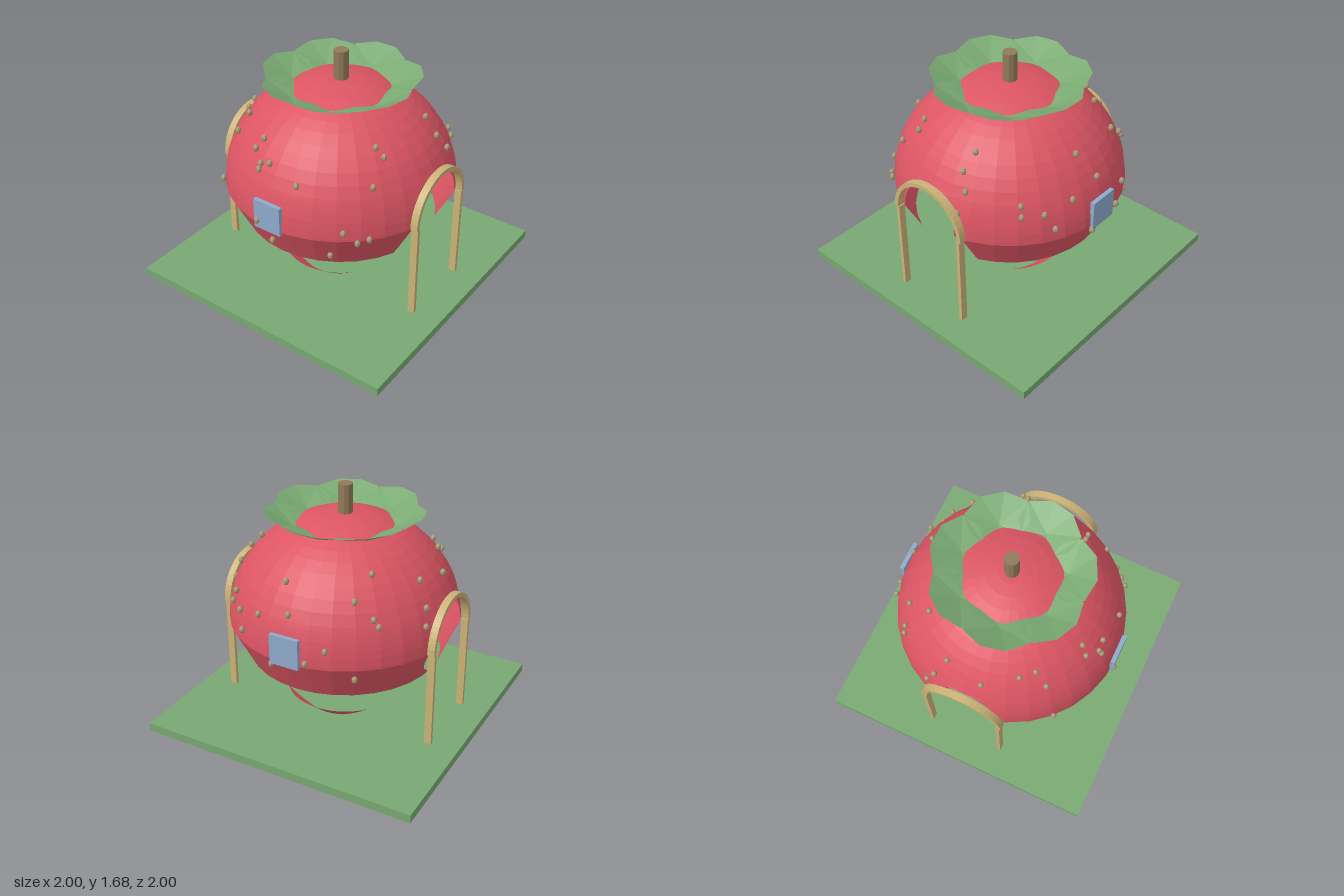
import * as THREE from 'three';
import { mergeGeometries } from 'three/addons/utils/BufferGeometryUtils.js';

const mat = (name, color, extra = {}) => {
  const m = new THREE.MeshStandardMaterial({ color, ...extra });
  m.name = name;
  return m;
};

// Faceted geometry from points and triangle indices
function faceted(points, index) {
  const g = new THREE.BufferGeometry();
  g.setAttribute('position', new THREE.Float32BufferAttribute(points, 3));
  g.setIndex(index);
  const flat = g.toNonIndexed();
  flat.computeVertexNormals();
  return flat;
}

// Half of a round shell: each row has height y, radius r and start / end angles,
// measured from +z towards the given side
function halfShell(rows, side, cols = 16) {
  const points = [], index = [];
  for (const { y, r, start, end } of rows) {
    for (let j = 0; j <= cols; j++) {
      const a = THREE.MathUtils.clamp((j * Math.PI) / cols, start, end);
      points.push(side * r * Math.sin(a), y, r * Math.cos(a));
    }
  }
  for (let i = 0; i < rows.length - 1; i++) {
    for (let j = 0; j < cols; j++) {
      const a = i * (cols + 1) + j, b = a + 1, c = a + cols + 1, d = c + 1;
      if (side > 0) index.push(a, b, d, a, d, c);
      else index.push(a, d, b, a, c, d);
    }
  }
  return faceted(points, index);
}

// Body profile: ellipsoid above the waist, cone below
const WAIST = 0.73, RX = 0.8, RY = 0.75;
const HOLE_Y = 0.75, HOLE_R = 0.26;
const bodyRadius = (y) => y < WAIST
  ? RX - 0.5 * (WAIST - y)
  : RX * Math.sqrt(Math.max(0, 1 - ((y - WAIST) / RY) ** 2));

function bodyRows() {
  const heights = [0.47, WAIST];
  for (let k = 0; k <= 14; k++) heights.push(HOLE_Y - HOLE_R * Math.cos((k * Math.PI) / 14));
  const low = Math.asin((HOLE_Y + HOLE_R - WAIST) / RY);
  for (let k = 1; k <= 11; k++) {
    heights.push(WAIST + RY * Math.sin(low + ((Math.PI / 2 - low) * k) / 11));
  }
  heights.sort((a, b) => a - b);
  return heights.map((y) => {
    const r = bodyRadius(y);
    // round hole at the back; the front one runs down to the rim as a doorway
    const back = Math.sqrt(Math.max(0, HOLE_R ** 2 - (y - HOLE_Y) ** 2));
    const front = y < HOLE_Y ? HOLE_R : back;
    return {
      y, r,
      start: front ? Math.asin(front / r) : 0,
      end: Math.PI - (back ? Math.asin(back / r) : 0),
    };
  });
}

// Seed positions on the upper body, as x, z pairs
const SEEDS = [
  [-0.58, -0.57], [-0.48, -0.5], [-0.39, -0.47], [-0.31, -0.545], [-0.1, -0.675],
  [0.16, -0.63], [0.225, -0.71], [0.275, -0.735], [0.54, -0.535], [0.545, -0.5],
  [0.395, -0.405], [0.565, -0.375], [0.755, -0.27], [0.8, -0.15], [0.74, 0],
  [0.625, 0.08], [0.73, 0.23], [0.715, 0.375], [0.66, 0.42], [0.55, 0.52],
  [0.57, 0.535], [0.195, 0.54], [0.18, 0.64], [0.24, 0.69], [0.225, 0.755],
  [-0.31, 0.49], [-0.305, 0.55], [-0.45, 0.57], [-0.65, 0.485], [-0.6, 0.56],
  [-0.54, 0.61], [-0.71, 0.17], [-0.81, -0.08], [-0.63, -0.215], [-0.585, -0.18],
  [-0.71, -0.13], [-0.69, -0.13], [-0.685, -0.06],
];
// Seeds below the waist, as x, y, z
const LOW_SEEDS = [[0.66, 0.66, -0.43], [0.8, 0.7, 0.1], [-0.76, 0.61, 0], [-0.63, 0.57, 0.37]];

export function createModel() {
  const model = new THREE.Group();
  model.name = 'fruitHouse';
  const red = mat('red skin', 0xdc5564, { side: THREE.DoubleSide });
  const green = mat('leaf green', 0x78a872);
  const leafGreen = mat('calyx green', 0x7bab74, { side: THREE.DoubleSide });
  const tan = mat('pale wood', 0xcbb277);
  const brown = mat('stem brown', 0x917a5a);
  const seedTan = mat('seed tan', 0xaa9b75);
  const blue = mat('window blue', 0x8eaacb);

  const add = (name, geometry, material, x = 0, y = 0, z = 0, parent = model) => {
    const m = new THREE.Mesh(geometry, material);
    m.name = name;
    m.position.set(x, y, z);
    parent.add(m);
    return m;
  };

  // Ground slab
  add('ground', new THREE.BoxGeometry(2, 0.06, 2), green, 0, 0.03, 0);

  // Body shell, and the two curved slivers on the ground beside the doorway
  const rows = bodyRows();
  const sliverRows = [0, 0.25, 0.5, 0.75, 1].map((t) => {
    const r = 0.286 + 0.124 * t, a = Math.asin(0.26 / r);
    return { y: 0.06 + 0.107 * t, r, start: a, end: Math.PI - a };
  });
  for (const side of [1, -1]) {
    const label = side > 0 ? 'left' : 'right';
    add(label + 'Body', halfShell(rows, side), red);
    add(label + 'GroundSliver', halfShell(sliverRows, side, 32), red);
    // Window plate
    add(label + 'Window', new THREE.BoxGeometry(0.03, 0.21, 0.21), blue, side * 0.795, 0.815, 0);
  }

  // Door frames: half-ring on two posts, front and back
  const ring = new THREE.Shape();
  ring.absarc(0, 0, 0.3, 0, Math.PI, false);
  ring.absarc(0, 0, 0.27, Math.PI, 0, true);
  const archGeo = new THREE.ExtrudeGeometry(ring, { depth: 0.05, bevelEnabled: false, curveSegments: 12 });
  archGeo.translate(0, 0, -0.025);
  const postGeo = new THREE.BoxGeometry(0.026, 0.69, 0.05);
  for (const [name, z] of [['frontDoorFrame', 0.785], ['backDoorFrame', -0.785]]) {
    const frame = new THREE.Group();
    frame.name = name;
    frame.position.z = z;
    model.add(frame);
    add('arch', archGeo, tan, 0, HOLE_Y, 0, frame);
    for (const s of [1, -1]) add('post', postGeo, tan, s * 0.274, 0.405, 0, frame);
  }

  // Calyx: seven dished leaves around the top, each a fan about a low centre
  const half = [[0.24, 1.4, 0.1], [0.32, 1.45, 0.2], [0.45, 1.49, 0.21], [0.535, 1.51, 0.08]];
  const rim = [...half, ...half.map(([x, y, z]) => [x, y, -z]).reverse()];
  const fan = [];
  for (let i = 0; i < rim.length; i++) fan.push(0, i + 1, ((i + 1) % rim.length) + 1);
  const leafGeo = faceted([0.36, 1.415, 0, ...rim.flat()], fan);
  for (let i = 0; i < 7; i++) {
    add('leaf', leafGeo, leafGreen).rotation.y = (i * Math.PI * 2) / 7;
  }

  // Stem
  const stemGeo = new THREE.CylinderGeometry(0.05, 0.05, 0.24, 10).toNonIndexed();
  stemGeo.computeVertexNormals();
  add('stem', stemGeo, brown, 0, 1.56, 0);

  // Seeds scattered over the skin
  const seedGeo = new THREE.SphereGeometry(0.022, 7, 5).toNonIndexed();
  seedGeo.scale(0.9, 1.15, 0.9);
  seedGeo.computeVertexNormals();
  const spots = SEEDS.map(([x, z]) =>
    [x, WAIST + 0.765 * Math.sqrt(Math.max(0, 1 - (x * x + z * z) / 0.664)), z]);
  add('seeds', mergeGeometries(
    [...spots, ...LOW_SEEDS].map(([x, y, z]) => seedGeo.clone().translate(x, y, z))), seedTan);

  return model;
}
